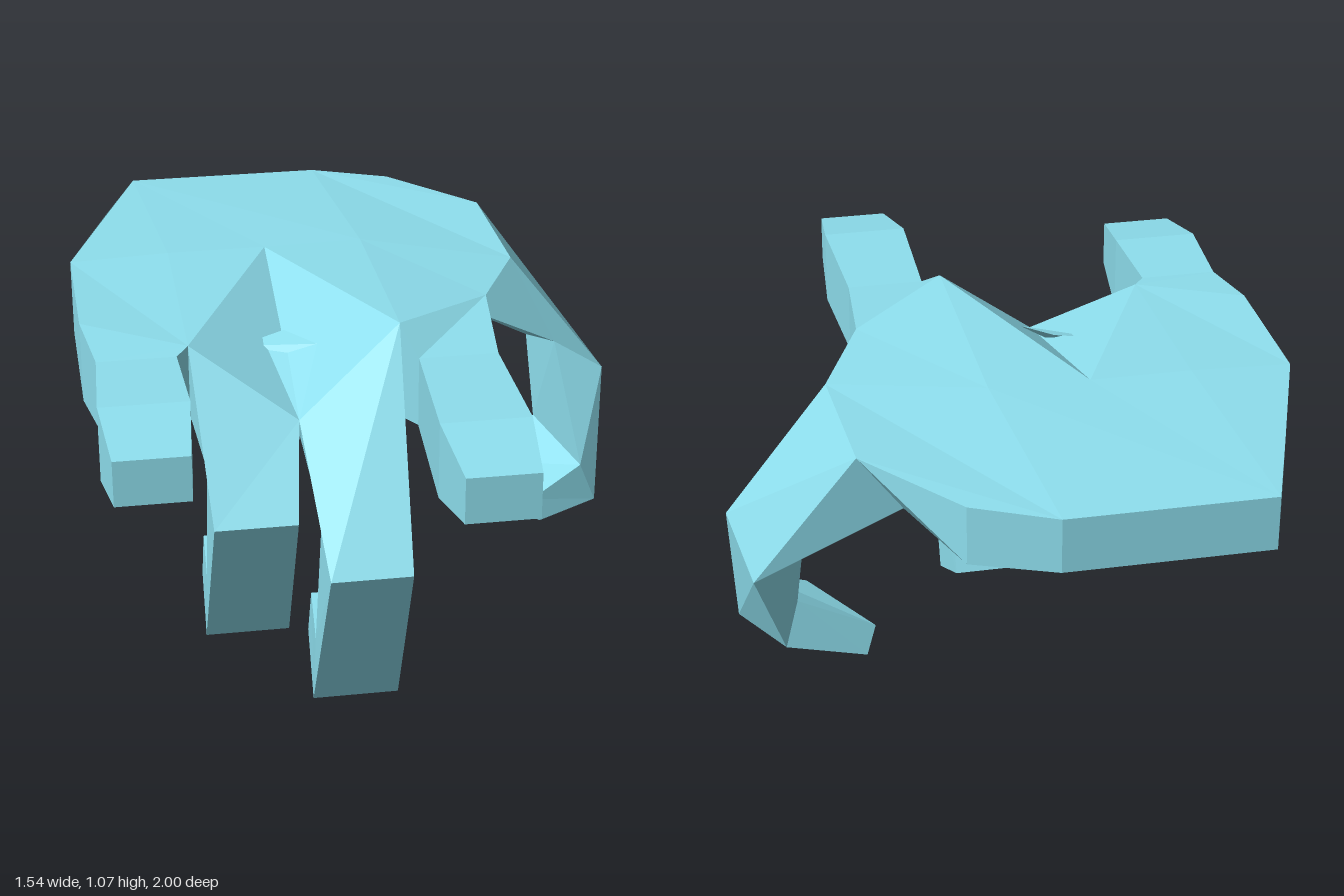
import * as THREE from 'three';

const material = new THREE.MeshStandardMaterial({ color: 0x8edfee, flatShading: true, side: THREE.DoubleSide });

// Mesh from a list of polygons, each a list of [x, y, z] corners
function polyMesh(name, polys) {
  const pos = [];
  for (const p of polys)
    for (let i = 1; i < p.length - 1; i++) pos.push(...p[0], ...p[i], ...p[i + 1]);
  const geo = new THREE.BufferGeometry();
  geo.setAttribute('position', new THREE.Float32BufferAttribute(pos, 3));
  geo.computeVertexNormals();
  const mesh = new THREE.Mesh(geo, material);
  mesh.name = name;
  return mesh;
}

// Closed skin over successive four-cornered sections
function loft(name, rings) {
  const polys = [[...rings[0]].reverse(), rings[rings.length - 1]];
  for (let r = 0; r < rings.length - 1; r++)
    for (let i = 0; i < 4; i++) {
      const j = (i + 1) % 4;
      polys.push([rings[r][i], rings[r][j], rings[r + 1][j], rings[r + 1][i]]);
    }
  return polyMesh(name, polys);
}

// Finger section: x range, then [y, z] of its upper and lower edge
const section = (x0, x1, [yt, zt], [yb, zb]) =>
  [[x1, yt, zt], [x0, yt, zt], [x0, yb, zb], [x1, yb, zb]];

export function createModel() {
  const group = new THREE.Group();
  group.name = 'hand';

  // Palm: top rim, wrist first, running towards the little finger
  const a = [-0.54, 0.985, -1], l = [-0.64, 1.0, -0.72], j = [-0.77, 1.015, -0.35];
  const i = [-0.77, 1.025, 0.08], h = [-0.49, 1.015, 0.24], k = [-0.21, 0.84, 0.38];
  const g = [0.075, 1.07, 0.3], f = [0.355, 1.03, 0.08], e = [0.485, 1.01, -0.2];
  const d = [0.47, 1.005, -0.62], c = [0.24, 0.99, -0.9], b = [0.02, 0.985, -1];
  // Points on the back of the hand where the knuckle hollow starts
  const m = [0.07, 1.03, -0.35], n = [-0.21, 1.025, -0.35], o = [-0.49, 1.025, -0.35];
  // Underside: level at the front, rising to the wrist, drawn inwards below the thumb root
  const thumbFront = [0.275, 0.895, -0.2], thumbBack = [0.35, 0.845, -0.62];
  const under = (p) => {
    if (p === e) return thumbFront;
    if (p === d) return thumbBack;
    return [p[0], 0.79 + 0.066 * Math.max(0, -0.35 - p[2]), p[2]];
  };
  const rim = [a, l, j, i, h, k, g, f, e, d, c, b];
  const walls = rim.map((p, q) => {
    const next = rim[(q + 1) % rim.length];
    return [p, under(p), under(next), next];
  });
  const underside = [
    [a, b, m, n, o, j, l], [m, b, c, d], [m, d, e], [m, e, f, g],
    [m, g, k, n], [n, k, h, o], [o, h, i, j],
  ].map((poly) => poly.map(under));
  group.add(polyMesh('palm', [
    [a, l, j, o, n, m, b], [b, m, e, d, c], [m, g, f, e],
    [n, k, g, m], [n, o, h, k], [j, i, h, o],
    ...underside, ...walls,
  ]));

  // Straight fingers
  group.add(loft('indexFinger', [
    [f, g, under(g), under(f)],
    section(0.11, 0.325, [1.01, 0.4], [0.81, 0.4]),
    section(0.095, 0.335, [1.015, 0.78], [0.8, 0.78]),
    section(0.12, 0.315, [0.975, 1], [0.845, 1]),
  ]));
  group.add(loft('littleFinger', [
    [h, i, under(i), under(h)],
    section(-0.74, -0.525, [1.01, 0.29], [0.81, 0.29]),
    section(-0.755, -0.515, [1.015, 0.56], [0.8, 0.56]),
    section(-0.735, -0.535, [0.975, 0.78], [0.845, 0.78]),
  ]));

  // Curled fingers
  group.add(loft('middleFinger', [
    [g, k, [-0.21, 0.8, 0.34], [0.07, 0.8, 0.3]],
    section(-0.18, 0.04, [0.55, 0.75], [0.64, 0.58]),
    section(-0.19, 0.05, [0.0, 0.465], [0.235, 0.52]),
    section(-0.175, 0.04, [0.095, 0.255], [0.26, 0.325]),
  ]));
  group.add(loft('ringFinger', [
    [k, h, [-0.49, 0.8, 0.22], [-0.21, 0.8, 0.27]],
    section(-0.465, -0.24, [0.63, 0.575], [0.73, 0.41]),
    section(-0.47, -0.235, [0.13, 0.295], [0.36, 0.37]),
    section(-0.46, -0.245, [0.225, 0.11], [0.39, 0.185]),
  ]));

  // Thumb: outer back, outer front, inner front, inner back
  group.add(loft('thumb', [
    [d, e, thumbFront, thumbBack],
    [[0.73, 0.565, -0.45], [0.77, 0.64, -0.19], [0.625, 0.73, -0.2], [0.59, 0.65, -0.42]],
    [[0.64, 0.3, -0.37], [0.74, 0.25, -0.09], [0.69, 0.375, -0.08], [0.6, 0.42, -0.33]],
    [[0.41, 0.22, -0.33], [0.56, 0.225, -0.03], [0.535, 0.3, -0.03], [0.38, 0.295, -0.3]],
  ]));

  // Small fold in the hollow between the knuckles
  const fold = [[-0.34, 0.93, 0.09], [-0.21, 0.9, 0.18], [-0.13, 0.955, 0.16], [-0.21, 0.96, 0.07]];
  group.add(polyMesh('knuckleFold', [
    fold, ...fold.map((p, q) => [p, k, fold[(q + 1) % 4]]),
  ]));

  return group;
}
